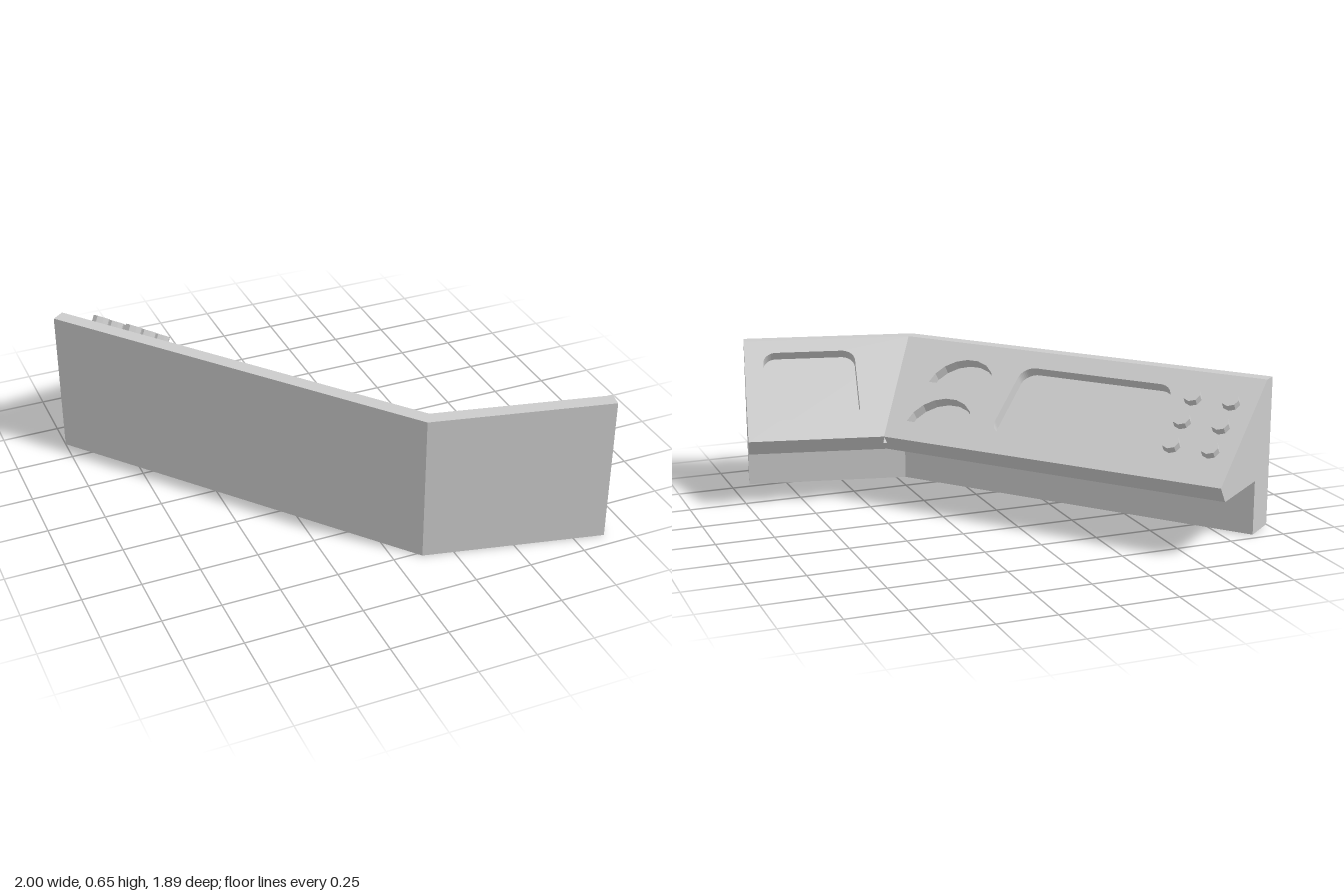
import * as THREE from 'three';

const material = new THREE.MeshStandardMaterial({ color: 0xcccccc, flatShading: true });

// Section measures: d = distance back from the front wall, y = height
const TOP_D = 0.062, TOP_Y = 0.65, LIP_D = 0.54, LIP_Y = 0.305;
const SLOPE = Math.hypot(LIP_D - TOP_D, TOP_Y - LIP_Y);
const COS = (LIP_D - TOP_D) / SLOPE, SIN = (TOP_Y - LIP_Y) / SLOPE;
const RECESS = 0.045;

// Plan: both wings meet at the front corner with a mitred joint
const LEFT_TURN = 0.682, RIGHT_TURN = 1.351;
const MITRE = Math.tan((RIGHT_TURN - LEFT_TURN) / 2);

function addMesh(parent, name, geometry) {
  const mesh = new THREE.Mesh(geometry, material);
  mesh.name = name;
  parent.add(mesh);
  return mesh;
}

// Rounded rectangle hole in panel coordinates (along the wing, down the slope)
function roundedRect(u0, u1, v0, v1, r) {
  const p = new THREE.Path();
  p.moveTo(u0 + r, v0);
  p.lineTo(u1 - r, v0);
  p.absarc(u1 - r, v0 + r, r, -Math.PI / 2, 0);
  p.absarc(u1 - r, v1 - r, r, 0, Math.PI / 2);
  p.absarc(u0 + r, v1 - r, r, Math.PI / 2, Math.PI);
  p.absarc(u0 + r, v0 + r, r, Math.PI, Math.PI * 1.5);
  p.closePath();
  return p;
}

// Half-round hole with its straight edge towards the operator
function halfRound(u, v, r) {
  const points = [];
  for (let i = 0; i <= 9; i++) {
    const a = Math.PI + (Math.PI * i) / 9;
    points.push(new THREE.Vector2(u + r * Math.cos(a), v + r * Math.sin(a)));
  }
  return new THREE.Path(points);
}

// One wing: local x runs back, y up, z along the wing; end < 0 or > 0
function makeWing(name, end, turn, holes) {
  const wing = new THREE.Group();
  wing.name = name;
  wing.rotation.y = turn;
  const joint = (d) => Math.sign(end) * MITRE * d;

  // Body: section swept from the outer end to the mitre, slope lowered for the panel
  const dx = SIN * RECESS, dy = COS * RECESS;
  const section = new THREE.Shape([
    [0, 0], [0.16, 0], [0.16, 0.235], [0.49, 0.235],
    [LIP_D - dx, LIP_Y - dy], [TOP_D - dx, TOP_Y - dy], [TOP_D, TOP_Y], [0, TOP_Y],
  ].map(([d, y]) => new THREE.Vector2(d, y)));
  const body = new THREE.ExtrudeGeometry(section, { depth: 1, bevelEnabled: false });
  const pos = body.attributes.position;
  for (let i = 0; i < pos.count; i++) {
    const outer = (pos.getZ(i) > 0.5) === (end > 0);
    pos.setZ(i, outer ? end : joint(pos.getX(i)));
  }
  body.computeVertexNormals();
  addMesh(wing, 'consoleBody', body);

  // Sloping panel with cut-outs that open onto the lowered body
  const panel = new THREE.Group();
  panel.name = 'controlPanel';
  const basis = new THREE.Matrix4().makeBasis(
    new THREE.Vector3(0, 0, 1), new THREE.Vector3(COS, -SIN, 0), new THREE.Vector3(SIN, COS, 0));
  panel.quaternion.setFromRotationMatrix(basis);
  panel.position.set(TOP_D, TOP_Y, 0);
  wing.add(panel);
  const outline = new THREE.Shape([
    [end, 0], [end, SLOPE], [joint(LIP_D), SLOPE], [joint(TOP_D), 0],
  ].map(([u, v]) => new THREE.Vector2(u, v)));
  outline.holes.push(...holes);
  const slab = new THREE.ExtrudeGeometry(outline, { depth: RECESS, bevelEnabled: false, curveSegments: 6 });
  slab.translate(0, 0, -RECESS);
  addMesh(panel, 'panelSurface', slab);
  return { wing, panel };
}

export function createModel() {
  const model = new THREE.Group();
  model.name = 'controlConsole';

  // Long wing: large screen recess and two half-round recesses
  const long = makeWing('longWing', -1.777, LEFT_TURN, [
    roundedRect(-1.395, -0.67, 0.096, 0.479, 0.065),
    halfRound(-0.41, 0.486, 0.156),
    halfRound(-0.41, 0.251, 0.156),
  ]);

  // Short wing: one screen recess
  const short = makeWing('shortWing', 0.779, RIGHT_TURN, [
    roundedRect(0.28, 0.695, 0.075, 0.473, 0.06),
  ]);

  // Two rows of three buttons
  for (const u of [-1.671, -1.5]) {
    for (const row of [-1, 0, 1]) {
      const geometry = new THREE.CylinderGeometry(0.038, 0.038, 0.04, 8);
      geometry.rotateX(Math.PI / 2);
      addMesh(long.panel, 'button', geometry).position.set(u, 0.284 + row * 0.13, 0.01);
    }
  }

  for (const { wing } of [long, short]) {
    wing.position.set(0.12, 0, 0.77);
    model.add(wing);
  }
  return model;
}
